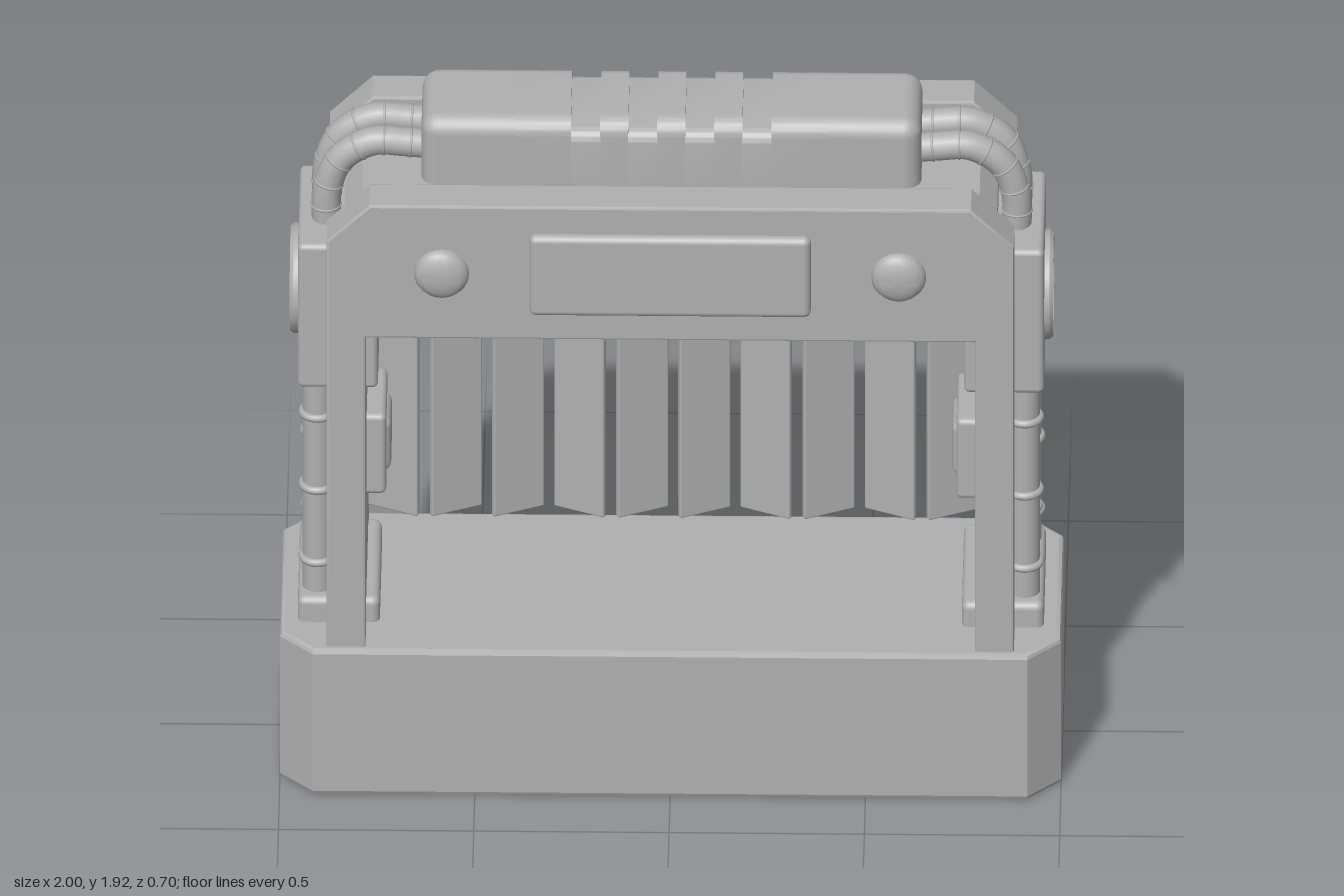
import * as THREE from 'three';
import { RoundedBoxGeometry } from 'three/addons/geometries/RoundedBoxGeometry.js';
import { toCreasedNormals } from 'three/addons/utils/BufferGeometryUtils.js';

const grey = new THREE.MeshStandardMaterial({ color: 0xb0b0b0 });
grey.name = 'grey';

function add(parent, name, geometry, x = 0, y = 0, z = 0) {
  const mesh = new THREE.Mesh(geometry, grey);
  mesh.name = name;
  mesh.position.set(x, y, z);
  parent.add(mesh);
  return mesh;
}

// Rounded box given by its limits on each axis
function block(parent, name, [x0, x1], [y0, y1], [z0, z1], r = 0.015) {
  return add(parent, name, new RoundedBoxGeometry(x1 - x0, y1 - y0, z1 - z0, 3, r),
    (x0 + x1) / 2, (y0 + y1) / 2, (z0 + z1) / 2);
}

// Bevelled extrusion that keeps the outline and total depth
function slab(points, depth, bevel) {
  const shape = new THREE.Shape(points.map(p => new THREE.Vector2(...p)));
  const g = new THREE.ExtrudeGeometry(shape, {
    depth: depth - 2 * bevel, bevelSize: bevel, bevelThickness: bevel,
    bevelOffset: -bevel, bevelSegments: 2,
  });
  g.translate(0, 0, bevel);
  return toCreasedNormals(g, 0.3);
}

// Roof section with rounded shoulders, square at both ends along x
function roofSection(parent, name, [x0, x1], top, halfZ, r) {
  const shape = new THREE.Shape();
  shape.moveTo(-halfZ, 1.68);
  shape.lineTo(halfZ, 1.68);
  shape.lineTo(halfZ, top - r);
  shape.absarc(halfZ - r, top - r, r, 0, Math.PI / 2);
  shape.absarc(-halfZ + r, top - r, r, Math.PI / 2, Math.PI);
  const g = new THREE.ExtrudeGeometry(shape, { depth: x1 - x0, bevelEnabled: false, curveSegments: 6 });
  g.rotateY(Math.PI / 2);
  add(parent, name, toCreasedNormals(g, 0.6), x0, 0, 0);
}

// Gate outline: two legs and a lintel with cut corners
function gate(halfWidth, top, cut) {
  const w = halfWidth, i = 0.78;
  return [[-w, 0.41], [-i, 0.41], [-i, 1.374], [i, 1.374], [i, 0.41], [w, 0.41],
    [w, top - cut], [w - cut, top], [-w + cut, top], [-w, top - cut]];
}

function lathe(points, crease) {
  return toCreasedNormals(new THREE.LatheGeometry(points.map(p => new THREE.Vector2(...p)), 32), crease);
}

// Everything on one end of the gate, built for +x
function sideUnit() {
  const side = new THREE.Group();
  block(side, 'pipeFoot', [0.745, 0.955], [0.42, 0.508], [-0.197, 0.197], 0.02);
  block(side, 'junctionBox', [0.75, 0.955], [1.145, 1.578], [-0.197, 0.197]);
  block(side, 'innerPanel', [0.73, 0.8], [0.775, 1.015], [-0.12, 0.12]);
  block(side, 'innerButton', [0.718, 0.768], [0.815, 0.975], [-0.08, 0.08], 0.024);

  // Vent with a raised rim and level bars
  const rim = lathe([[0.118, 0], [0.142, 0], [0.142, 0.018], [0.135, 0.027], [0.125, 0.027], [0.118, 0.018], [0.118, 0]], 0.6);
  rim.rotateZ(-Math.PI / 2);
  add(side, 'ventRim', rim, 0.95, 1.357, 0);
  for (let k = -5; k <= 5; k++) {
    const y = k * 0.021;
    add(side, 'ventBar', new THREE.BoxGeometry(0.02, 0.014, 2 * Math.sqrt(0.12 ** 2 - y * y)), 0.959, 1.357 + y, 0);
  }

  // Upright pipes with collars
  for (const z of [-0.127, 0, 0.127]) {
    const x = z ? 0.905 : 0.9;
    add(side, 'pipe', new THREE.CylinderGeometry(0.039, 0.039, 0.7, 20), x, 0.83, z);
    for (const y of z ? [0.597, 0.816, 1.035] : [0.685, 0.945]) {
      const collar = new THREE.TorusGeometry(0.039, 0.011, 8, 24);
      collar.rotateX(Math.PI / 2);
      add(side, 'pipeCollar', collar, x, y, z);
    }
  }

  // Bent hoses with joints
  for (const z of [-0.057, 0.057]) {
    const path = new THREE.CatmullRomCurve3([[0.883, 1.55], [0.881, 1.67], [0.845, 1.76], [0.765, 1.81], [0.68, 1.808], [0.6, 1.8]]
      .map(([x, y]) => new THREE.Vector3(x, y, z)));
    add(side, 'hose', new THREE.TubeGeometry(path, 32, 0.038, 16), 0, 0, 0);
    for (let k = 1; k < 7; k++) {
      const ring = add(side, 'hoseJoint', new THREE.TorusGeometry(0.037, 0.0035, 6, 20));
      ring.position.copy(path.getPointAt(k / 7));
      ring.lookAt(ring.position.clone().add(path.getTangentAt(k / 7)));
    }
  }
  return side;
}

export function createModel() {
  const model = new THREE.Group();
  model.name = 'gate';

  // Base with cut corners
  const c = 0.085, d = 0.333;
  const base = slab([[-1 + c, -d], [1 - c, -d], [1, -d + c], [1, d - c],
    [1 - c, d], [-1 + c, d], [-1, d - c], [-1, -d + c]], 0.438, 0.012);
  base.rotateX(-Math.PI / 2);
  add(model, 'base', base);

  // Frame: inner core and two outer plates
  add(model, 'frameCore', slab(gate(0.835, 1.73, 0.045), 0.42, 0.001), 0, 0, -0.21);
  for (const s of [1, -1]) {
    const face = new THREE.Group();
    face.name = s > 0 ? 'frontFace' : 'backFace';
    add(face, 'framePlate', slab(gate(0.88, 1.775, 0.11), 0.11, 0.006), 0, 0, 0.204);
    block(face, 'signPanel', [-0.36, 0.36], [1.455, 1.695], [0.29, 0.336], 0.018);
    for (const x of [-0.585, 0.585]) {
      const knob = lathe([[0.07, 0], [0.07, 0.016], [0.063, 0.03], [0.047, 0.039], [0.025, 0.044], [0, 0.045]], 0.9);
      knob.rotateX(Math.PI / 2);
      add(face, 'knob', knob, x, 1.575, 0.305);
    }
    if (s < 0) face.rotation.y = Math.PI;
    model.add(face);

    const side = sideUnit();
    side.name = s > 0 ? 'leftSide' : 'rightSide';
    if (s < 0) side.rotation.y = Math.PI;
    model.add(side);

    // Roof housing: rounded outer end, square inner end
    block(model, 'roofEnd', s > 0 ? [0.3, 0.64] : [-0.64, -0.3], [1.66, 1.923], [-0.14, 0.14], 0.045);
    roofSection(model, 'roofShoulder', s > 0 ? [0.257, 0.4] : [-0.4, -0.257], 1.923, 0.14, 0.045);
  }

  // Roof ribs with lower bands between them
  for (let k = -1; k <= 1; k++) {
    roofSection(model, 'roofRib', [k * 0.146 - 0.036, k * 0.146 + 0.036], 1.923, 0.14, 0.045);
  }
  for (let k = -1.5; k <= 1.5; k++) {
    roofSection(model, 'roofBand', [k * 0.146 - 0.038, k * 0.146 + 0.038], 1.896, 0.146, 0.035);
  }

  // Slats hanging near the back, turned one way or the other
  [1, -1, -1, 1, -1, -1, 1, -1, 1, -1].forEach((turn, i) => {
    const slat = add(model, 'slat', new RoundedBoxGeometry(0.141, 0.9, 0.018, 2, 0.005), -0.7155 + i * 0.159, 0.972, -0.212);
    slat.rotation.y = -turn * 0.42;
  });
  return model;
}
